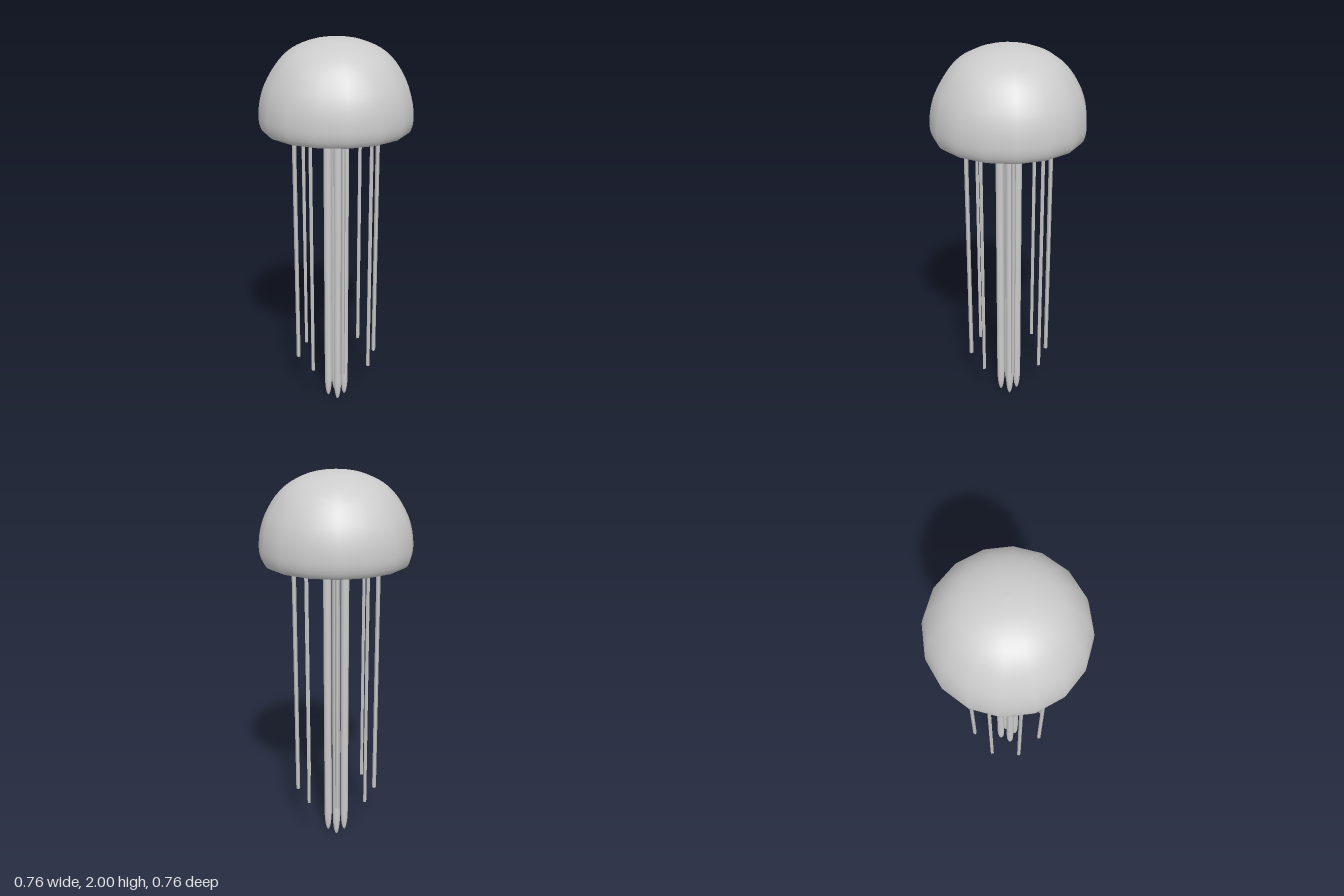
import * as THREE from 'three';

const material = new THREE.MeshStandardMaterial({ color: 0xcccccc, side: THREE.DoubleSide });

function addMesh(parent, name, geometry, x = 0, y = 0, z = 0) {
  const mesh = new THREE.Mesh(geometry, material);
  mesh.name = name;
  mesh.position.set(x, y, z);
  parent.add(mesh);
  return mesh;
}

// Hollow bell: down the inside, round the rim and up the outside
function bellGeometry() {
  const profile = [
    [0, 1.93], [0.12, 1.915], [0.22, 1.86], [0.29, 1.77], [0.32, 1.67], [0.315, 1.59],
    [0.32, 1.553], [0.34, 1.546], [0.366, 1.56], [0.38, 1.6], [0.381, 1.65], [0.373, 1.71],
    [0.35, 1.782], [0.3, 1.868], [0.24, 1.929], [0.17, 1.968], [0.09, 1.992], [0, 2],
  ].map(([r, y]) => new THREE.Vector2(r, y));
  const points = new THREE.SplineCurve(profile).getPoints(44);
  points.forEach((p) => { p.x = Math.max(p.x, 0); });
  return new THREE.LatheGeometry(points, 16);
}

// Long arm with tapered, rounded ends
function armGeometry(radius, length, taper) {
  const points = [];
  const steps = 6;
  for (let i = 0; i <= steps; i++) {
    const a = (i / steps) * Math.PI / 2;
    points.push(new THREE.Vector2(radius * Math.sin(a), taper * (1 - Math.cos(a))));
  }
  for (let i = steps; i >= 0; i--) {
    points.push(new THREE.Vector2(points[i].x, length - points[i].y));
  }
  return new THREE.LatheGeometry(points, 10);
}

export function createModel() {
  const model = new THREE.Group();
  model.name = 'jellyfish';

  addMesh(model, 'bell', bellGeometry());

  // Round body hanging inside the bell
  addMesh(model, 'innerBody', new THREE.SphereGeometry(0.155, 20, 14), 0, 1.755, 0);

  // Four thick arms clustered in the middle
  const arms = new THREE.Group();
  arms.name = 'oralArms';
  const arm = armGeometry(0.021, 1.66, 0.13);
  for (const x of [-0.032, 0.032]) {
    for (const z of [-0.032, 0.032]) addMesh(arms, 'oralArm', arm, x, 0, z);
  }
  model.add(arms);

  // Eight thin four-sided tentacles in a ring
  const tentacles = new THREE.Group();
  tentacles.name = 'tentacles';
  const bottom = 0.27, top = 1.86;
  const strand = new THREE.CylinderGeometry(0.011, 0.011, top - bottom, 4);
  for (let i = 0; i < 8; i++) {
    const a = (i / 8) * Math.PI * 2;
    const t = addMesh(tentacles, 'tentacle', strand,
      0.212 * Math.sin(a), (top + bottom) / 2, 0.212 * Math.cos(a));
    t.rotation.y = a;
  }
  model.add(tentacles);

  return model;
}
